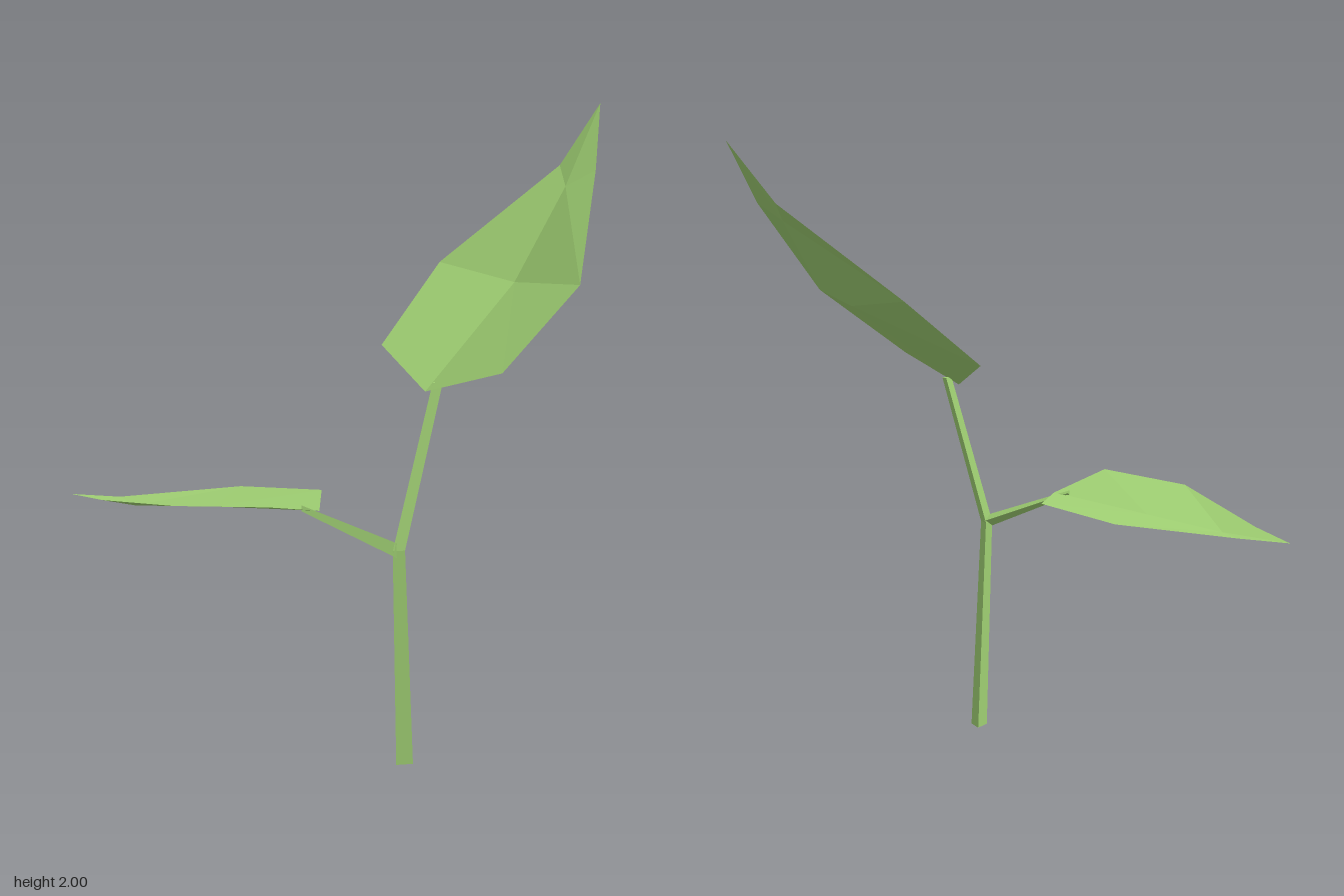
import * as THREE from 'three';

const leafGreen = new THREE.MeshStandardMaterial({ color: 0xa0d073, flatShading: true, side: THREE.DoubleSide });
leafGreen.name = 'leafGreen';

function facetedMesh(name, points) {
  const geometry = new THREE.BufferGeometry();
  geometry.setAttribute('position', new THREE.Float32BufferAttribute(points.flat(), 3));
  geometry.computeVertexNormals();
  const mesh = new THREE.Mesh(geometry, leafGreen);
  mesh.name = name;
  return mesh;
}

// Skin a list of three-cornered rings and close both ends
function stalk(name, rings) {
  const tris = [];
  for (let r = 0; r < rings.length - 1; r++) {
    const a = rings[r], b = rings[r + 1];
    for (let i = 0; i < 3; i++) {
      const j = (i + 1) % 3;
      tris.push(a[i], b[i], a[j], a[j], b[i], b[j]);
    }
  }
  tris.push(...rings[0], ...[...rings[rings.length - 1]].reverse());
  return facetedMesh(name, tris);
}

// Leaf blade: two edges and a creased midrib, all running from base to tip
function leaf(name, base, tip, leftEdge, midrib, rightEdge) {
  const tris = [];
  const half = (edge, flip) => {
    const [e1, e2, e3] = edge, [m2, m3] = midrib;
    const faces = [
      [base, m2, e1], [e1, m2, e2],
      [m2, m3, e2], [e2, m3, e3],
      [m3, tip, e3],
    ];
    for (const f of faces) tris.push(...(flip ? [...f].reverse() : f));
  };
  half(leftEdge, false);
  half(rightEdge, true);
  return facetedMesh(name, tris);
}

export function createModel() {
  const group = new THREE.Group();
  group.name = 'seedling';

  // Main stem with a bend where the side stalk grows
  const stemRing = ([x, y, z, r]) => [10, 130, 250].map((deg) => {
    const t = THREE.MathUtils.degToRad(deg);
    return [x + r * Math.cos(t), y, z + r * Math.sin(t)];
  });
  group.add(stalk('stem', [
    [0.32, 0, 0.27, 0.031],
    [0.298, 0.72, 0.293, 0.022],
    [0.392, 1.225, 0.183, 0.018],
  ].map(stemRing)));

  // Tapering side stalk
  const sideRing = ([x, y, z, s]) => [[0.005, -0.02], [0.022, 0.012], [-0.022, 0.02]]
    .map(([dy, dz]) => [x, y + dy * s, z + dz * s]);
  group.add(stalk('sideStalk', [
    [0.295, 0.722, 0.291, 1],
    [0.0, 0.838, 0.305, 0.4],
  ].map(sideRing)));

  // Large upright leaf
  group.add(leaf('upperLeaf', [0.36, 1.2, 0.21], [0.805, 2, -0.49],
    [[0.19, 1.29, 0.01], [0.33, 1.51, -0.25], [0.69, 1.81, -0.4]],
    [[0.585, 1.48, -0.12], [0.717, 1.755, -0.315]],
    [[0.6, 1.29, 0.295], [0.8, 1.515, 0.06], [0.81, 1.81, -0.31]]));

  // Small drooping side leaf
  group.add(leaf('sideLeaf', [0.057, 0.835, 0.315], [-0.81, 0.768, 0.12],
    [[0.02, 0.835, 0.11], [-0.265, 0.803, 0.03], [-0.645, 0.77, 0.12]],
    [[-0.3, 0.8, 0.24], [-0.57, 0.77, 0.195]],
    [[-0.06, 0.895, 0.49], [-0.36, 0.867, 0.455], [-0.67, 0.79, 0.223]]));

  return group;
}
